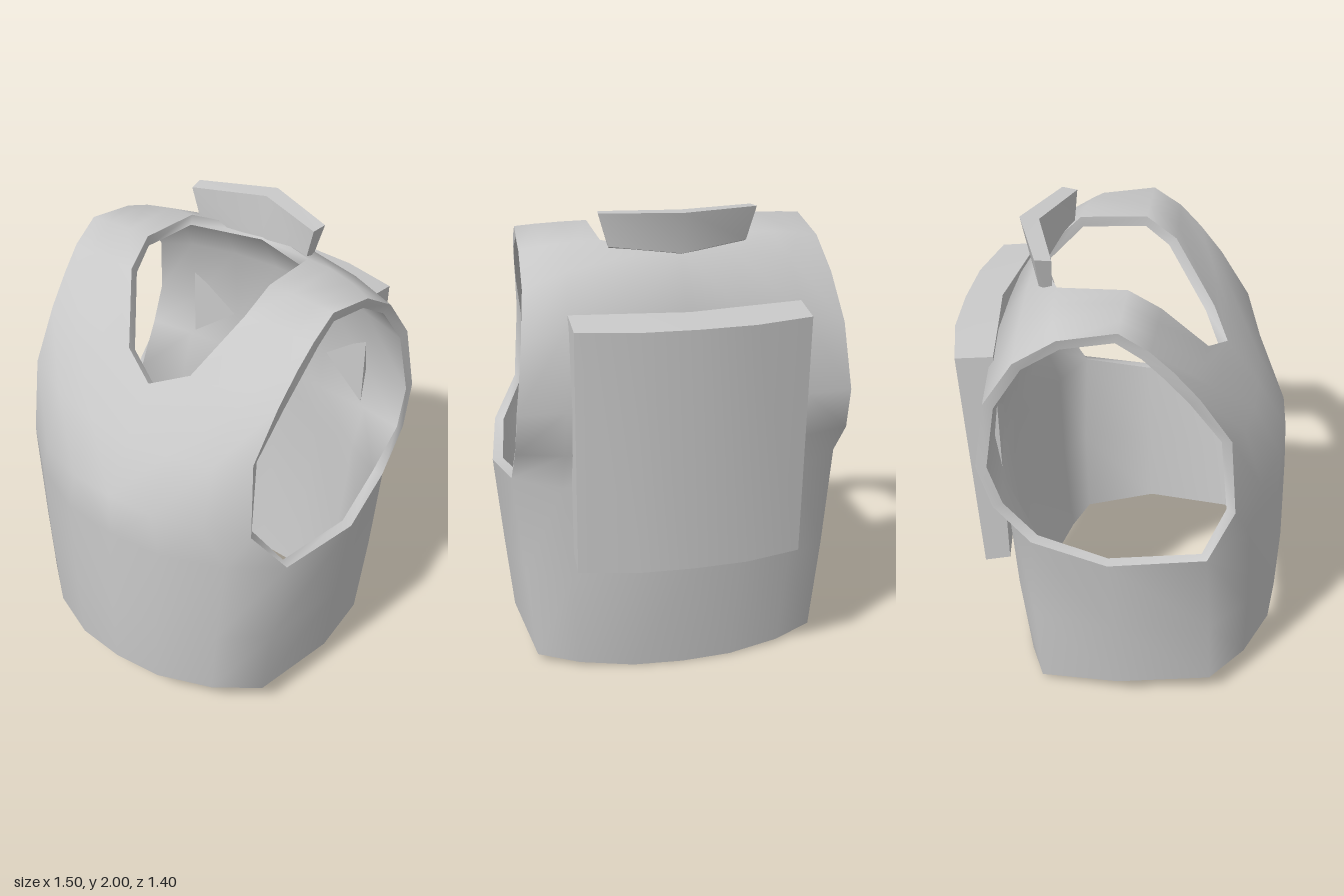
import * as THREE from 'three';

const THICKNESS = 0.045;
const COLUMNS = [0, 0.35, 0.72, 1]; // spacing from the centre line to the side
const ROUNDNESS = 2.4; // stays flat near the middle, then turns towards the side

// Half-vest rows from the front hem over the shoulder to the back hem:
// a point on the centre line or neck edge, then one on the side or armhole edge.
const ROWS = [
  [[0, .13, .69], [.62, .11, .43]],
  [[0, .45, .70], [.655, .45, .42]],
  [[0, .87, .69], [.70, .87, .40]],
  [[0, 1.07, .68], [.59, 1.04, .50]],
  [[0, 1.28, .55], [.57, 1.38, .47]],
  [[0, 1.48, .41], [.585, 1.58, .34]],
  [[.16, 1.55, .34], [.595, 1.70, .24]],
  [[.29, 1.79, .16], [.605, 1.79, .15]],
  [[.31, 1.875, .03], [.61, 1.865, .03]],
  [[.30, 1.86, -.25], [.62, 1.82, -.20]],
  [[0, 1.83, -.38], [.63, 1.71, -.37]],
  [[0, 1.62, -.51], [.655, 1.53, -.49]],
  [[0, 1.25, -.55], [.685, 1.25, -.53]],
  [[0, 1.05, -.55], [.695, 1.06, -.47]],
  [[0, .87, -.55], [.70, .89, -.32]],
  [[0, .45, -.52], [.66, .45, -.33]],
  [[0, 0, -.46], [.62, .03, -.32]],
];
// Side panel points under the arm, matching the lowest three rows
const SIDE = [[.68, .095, .03], [.715, .45, .02], [.75, .84, 0]];

// Rounded cross strip between the two ends of a row
function strip([a, b]) {
  return COLUMNS.map((t) => {
    const bend = t ** ROUNDNESS;
    return [a[0] + (b[0] - a[0]) * t, a[1] + (b[1] - a[1]) * bend, a[2] + (b[2] - a[2]) * bend];
  });
}

function makeGeometry(points, index) {
  const g = new THREE.BufferGeometry();
  g.setAttribute('position', new THREE.Float32BufferAttribute(points.flat(), 3));
  g.setIndex(index);
  g.computeVertexNormals();
  return g;
}

// Vest as an outer shell, an offset lining and a rim joining their open edges
function buildVest() {
  const points = [], index = [], lookup = new Map();
  const vertex = (p) => {
    const key = p.map((v) => Math.round(v * 1000)).join();
    if (!lookup.has(key)) {
      lookup.set(key, points.length);
      points.push(p);
    }
    return lookup.get(key);
  };
  const addGrid = (grid, side) => {
    const ids = grid.map((row) => row.map(([x, y, z]) => vertex([x * side, y, z])));
    for (let r = 0; r < ids.length - 1; r++) {
      for (let c = 0; c < ids[r].length - 1; c++) {
        const a = ids[r][c], b = ids[r][c + 1], d = ids[r + 1][c + 1], e = ids[r + 1][c];
        if (side > 0) index.push(a, b, d, a, d, e);
        else index.push(b, a, d, d, a, e);
      }
    }
  };
  const panel = ROWS.map(strip);
  const sidePanel = SIDE.map((p, i) => [ROWS[i][1], p, ROWS[ROWS.length - 1 - i][1]]);
  for (const side of [1, -1]) {
    addGrid(panel, side);
    addGrid(sidePanel, side);
  }

  const outer = makeGeometry(points, index);
  const n = outer.attributes.normal;
  const innerPoints = points.map(([x, y, z], i) => [
    x - n.getX(i) * THICKNESS,
    Math.max(0.004, y - n.getY(i) * THICKNESS),
    z - n.getZ(i) * THICKNESS,
  ]);
  const lining = makeGeometry(innerPoints, index.slice().reverse());

  // An edge used in one direction only lies on an opening
  const edges = new Set();
  const eachEdge = (visit) => {
    for (let i = 0; i < index.length; i += 3) {
      for (let k = 0; k < 3; k++) visit(index[i + k], index[i + (k + 1) % 3]);
    }
  };
  eachEdge((a, b) => edges.add(a + '_' + b));
  const rim = [], count = points.length;
  eachEdge((a, b) => {
    if (!edges.has(b + '_' + a)) rim.push(b, a, a + count, b, a + count, b + count);
  });
  return { outer, lining, trim: makeGeometry([...points, ...innerPoints], rim) };
}

// Solid lofted along x: smooth along its length, sharp at the section corners.
// Sections run counter-clockwise as seen from +x.
function loft(sections) {
  const points = [], index = [];
  const sides = sections[0].length;
  for (let k = 0; k < sides; k++) {
    const base = points.length;
    for (const s of sections) points.push(s[k], s[(k + 1) % sides]);
    for (let i = 0; i < sections.length - 1; i++) {
      const a = base + i * 2;
      index.push(a, a + 1, a + 3, a, a + 3, a + 2);
    }
  }
  for (const [section, flip] of [[sections[0], true], [sections.at(-1), false]]) {
    const b = points.length;
    points.push(...section);
    for (let k = 1; k < sides - 1; k++) {
      index.push(b, flip ? b + k + 1 : b + k, flip ? b + k : b + k + 1);
    }
  }
  return makeGeometry(points, index);
}

export function createModel() {
  const group = new THREE.Group();
  group.name = 'vest';
  const fabric = new THREE.MeshStandardMaterial({ color: 0xc8c8c8 });
  fabric.name = 'light grey fabric';
  const add = (name, geometry) => {
    const mesh = new THREE.Mesh(geometry, fabric);
    mesh.name = name;
    group.add(mesh);
  };

  const { outer, lining, trim } = buildVest();
  add('outerShell', outer);
  add('lining', lining);
  add('edgeTrim', trim);

  // Curved back pouch: x, inner z, outer z
  const pouch = [[-.47, -.48, -.635], [-.23, -.51, -.69], [0, -.54, -.70], [.23, -.51, -.69], [.47, -.48, -.635]];
  add('backPouch', loft(pouch.map(([x, zi, zo]) => [
    [x, .59, zi + .01], [x, .56, zo + .055], [x, 1.61, zo], [x, 1.63, zi],
  ])));

  // Chevron collar standing behind the neck, flaring upwards
  const collarEnd = (s) => [
    [.27 * s, 1.825, -.275], [.28 * s, 1.85, -.325], [.32 * s, 1.985, -.33], [.31 * s, 1.98, -.265],
  ];
  const collarMiddle = [[0, 1.81, -.35], [0, 1.83, -.41], [0, 2, -.45], [0, 1.995, -.37]];
  add('collar', loft([collarEnd(-1), collarMiddle, collarEnd(1)]));

  return group;
}
